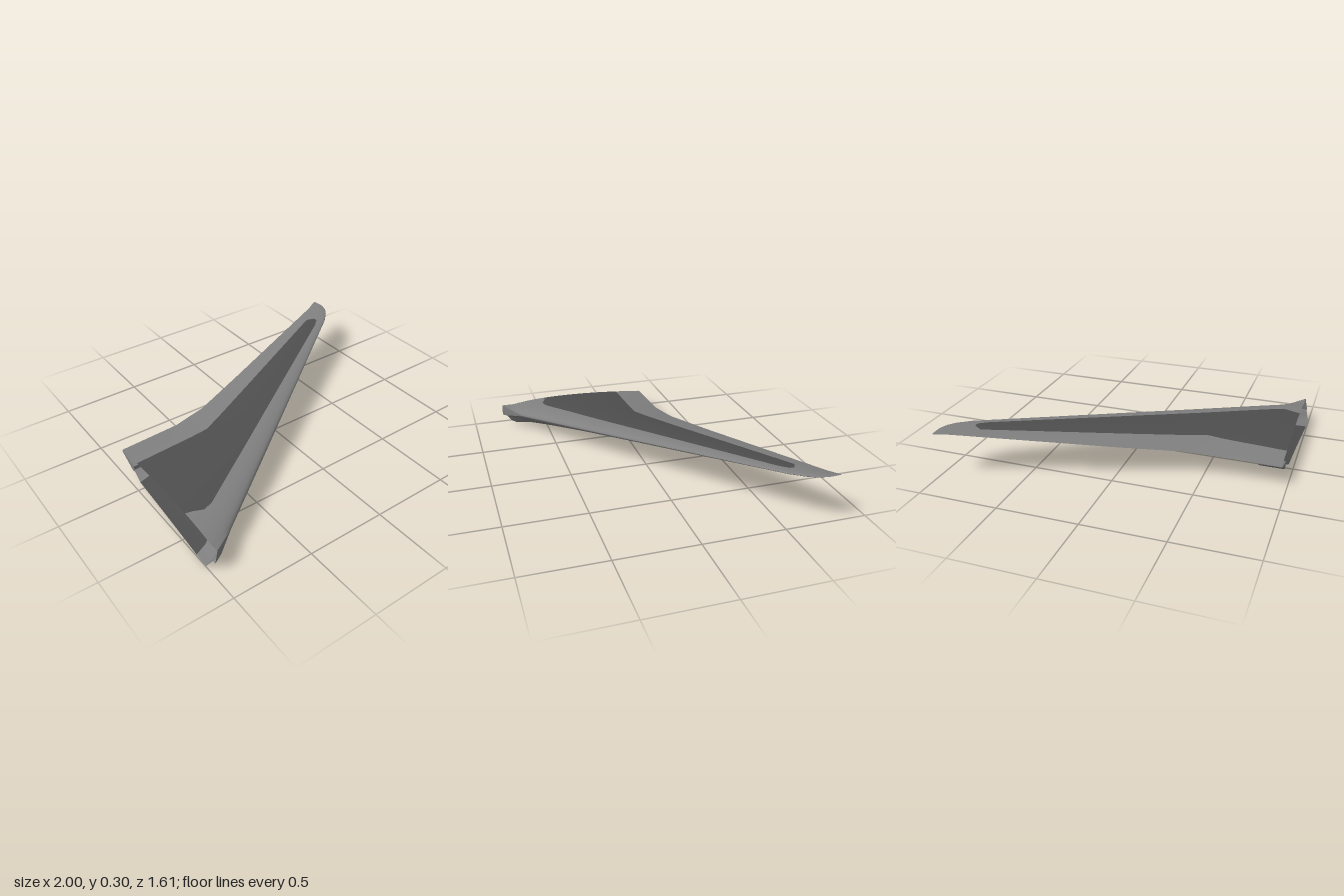
import * as THREE from 'three';

// Piecewise linear lookup in a flat list x0, v0, x1, v1, ...
function at(list, x) {
  for (let i = 0; i + 3 < list.length; i += 2) {
    if (x <= list[i + 2] || i + 4 >= list.length) {
      const k = Math.max(0, (x - list[i]) / (list[i + 2] - list[i]));
      return list[i + 1] + (list[i + 3] - list[i + 1]) * k;
    }
  }
}
const lerp = THREE.MathUtils.lerp;

// Planform and heights along the span
const leadZ = [-0.96, 0.8, 0.88, -0.55, 0.95, -0.62, 0.985, -0.67, 1, -0.72];
const trailZ = [-0.96, -0.245, -0.58, -0.255, -0.36, -0.295, 0.91, -0.77, 0.985, -0.81, 1, -0.812];
const leadY = [-0.96, 0.1, -0.8, 0.105, 0, 0.187, 1, 0.293];
const trailY = [-0.96, 0.133, -0.58, 0.142, -0.36, 0.158, 0, 0.19, 1, 0.293];
const topY = [-0.96, 0.165, -0.4, 0.195, 0, 0.225, 0.95, 0.296, 1, 0.295];
const bottomY = [-0.96, 0.005, -0.8, 0.05, 0, 0.158, 0.95, 0.281, 1, 0.291];

// Borders of the dark panel on the two skins
const rearTop = [-0.96, -0.06, -0.47, -0.065, 0.78, -0.64, 0.83, -0.615, 1, -0.77];
const frontTop = [-0.96, 0.485, -0.92, 0.495, -0.86, 0.52, -0.8, 0.5, 0.78, -0.54, 0.83, -0.585, 1, -0.735];
const rearBottom = [-0.96, -0.02, -0.47, -0.065, 0.78, -0.64, 0.83, -0.615, 1, -0.77];
const frontBottom = [-0.96, 0.64, -0.86, 0.57, -0.8, 0.51, 0.78, -0.54, 0.83, -0.585, 1, -0.735];

const stations = [-0.96, -0.92, -0.86, -0.8, -0.7, -0.58, -0.47, -0.36, -0.2, 0, 0.2, 0.4, 0.6,
  0.78, 0.81, 0.83, 0.88, 0.915, 0.95, 0.97, 0.985, 1];
const REAR = 4, MID = 8, FRONT = 8;

// One skin's points from trailing edge to leading edge
function skin(x, upper) {
  const zl = at(leadZ, x), zt = at(trailZ, x);
  const zr = at(upper ? rearTop : rearBottom, x), zf = at(upper ? frontTop : frontBottom, x);
  const zs = [];
  for (let i = 0; i < REAR; i++) zs.push(lerp(zt, zr, i / REAR));
  for (let i = 0; i < MID; i++) zs.push(lerp(zr, zf, i / MID));
  for (let i = 0; i <= FRONT; i++) zs.push(lerp(zf, zl, 1 - (1 - i / FRONT) ** 2));

  const rootBlend = at([-0.96, 1, -0.36, 0, 1, 0], x);
  const blunt = at([-0.96, 0.04, -0.8, 0, 1, 0], x);
  return zs.map((z) => {
    const t = THREE.MathUtils.clamp((zl - z) / (zl - zt), 0, 1);
    const line = lerp(at(leadY, x), at(trailY, x), t);
    const mid = lerp(at(leadY, x), at(trailY, x), 1 / 3);
    const foil = 2.6 * Math.sqrt(t) * (1 - t);
    const flat = Math.min(1, t / 0.06, (1 - t) / 0.216) * (1 - 0.2 * t);
    const bulge = upper ? (at(topY, x) - mid) * foil
      : (mid - at(bottomY, x)) * lerp(foil, flat, rootBlend);
    const off = Math.max(bulge, blunt * (1 - t));
    const y = Math.max(0, upper ? line + off : line - off);
    // The root end leans outward towards its lower edge
    const lean = x === stations[0] ? 0.04 * (Math.max(0, 0.14 - y) / 0.14) ** 1.5 * (1 - 0.6 * t) : 0;
    return [x - lean, y, z];
  });
}

// Loft both skins, with the panel faces in a second material group
function wingGeometry() {
  const positions = [], faces = [[], []];
  const loops = stations.map((x) => [...skin(x, true), ...skin(x, false).reverse()]);
  loops.forEach((loop) => loop.forEach((p) => positions.push(...p)));
  const n = loops[0].length;
  for (let i = 0; i + 1 < stations.length; i++) {
    for (let j = 0; j + 1 < n; j++) {
      const strip = Math.min(j, n - 2 - j);
      const dark = strip >= REAR && strip < REAR + MID && stations[i + 1] <= 0.83;
      const a = i * n + j, b = a + n;
      faces[dark ? 1 : 0].push(a, a + 1, b + 1, a, b + 1, b);
    }
  }
  const geo = new THREE.BufferGeometry();
  geo.setAttribute('position', new THREE.Float32BufferAttribute(positions, 3));
  geo.setIndex([...faces[0], ...faces[1]]);
  geo.addGroup(0, faces[0].length, 0);
  geo.addGroup(faces[0].length, faces[1].length, 1);
  geo.computeVertexNormals();
  return geo;
}

export function createModel() {
  const group = new THREE.Group();
  group.name = 'wing';
  const light = new THREE.MeshStandardMaterial({ color: 0x808080, side: THREE.DoubleSide });
  light.name = 'light grey';
  const dark = new THREE.MeshStandardMaterial({ color: 0x4e4e4e, side: THREE.DoubleSide });
  dark.name = 'dark grey';

  // Hollow wing shell, open at the root
  const shell = new THREE.Mesh(wingGeometry(), [light, dark]);
  shell.name = 'wingShell';
  group.add(shell);

  // Small wedge under the trailing edge at the root
  const profile = new THREE.Shape([[0.1, 0.1], [0.1, 0.062], [0.12, 0.055], [0.242, 0.128], [0.242, 0.134]]
    .map(([x, y]) => new THREE.Vector2(x, y)));
  const wedgeGeo = new THREE.ExtrudeGeometry(profile, { depth: 0.15, bevelEnabled: false });
  wedgeGeo.rotateY(Math.PI / 2);
  wedgeGeo.translate(-0.965, 0, 0);
  const wedge = new THREE.Mesh(wedgeGeo, light);
  wedge.name = 'rootFlap';
  group.add(wedge);

  return group;
}
